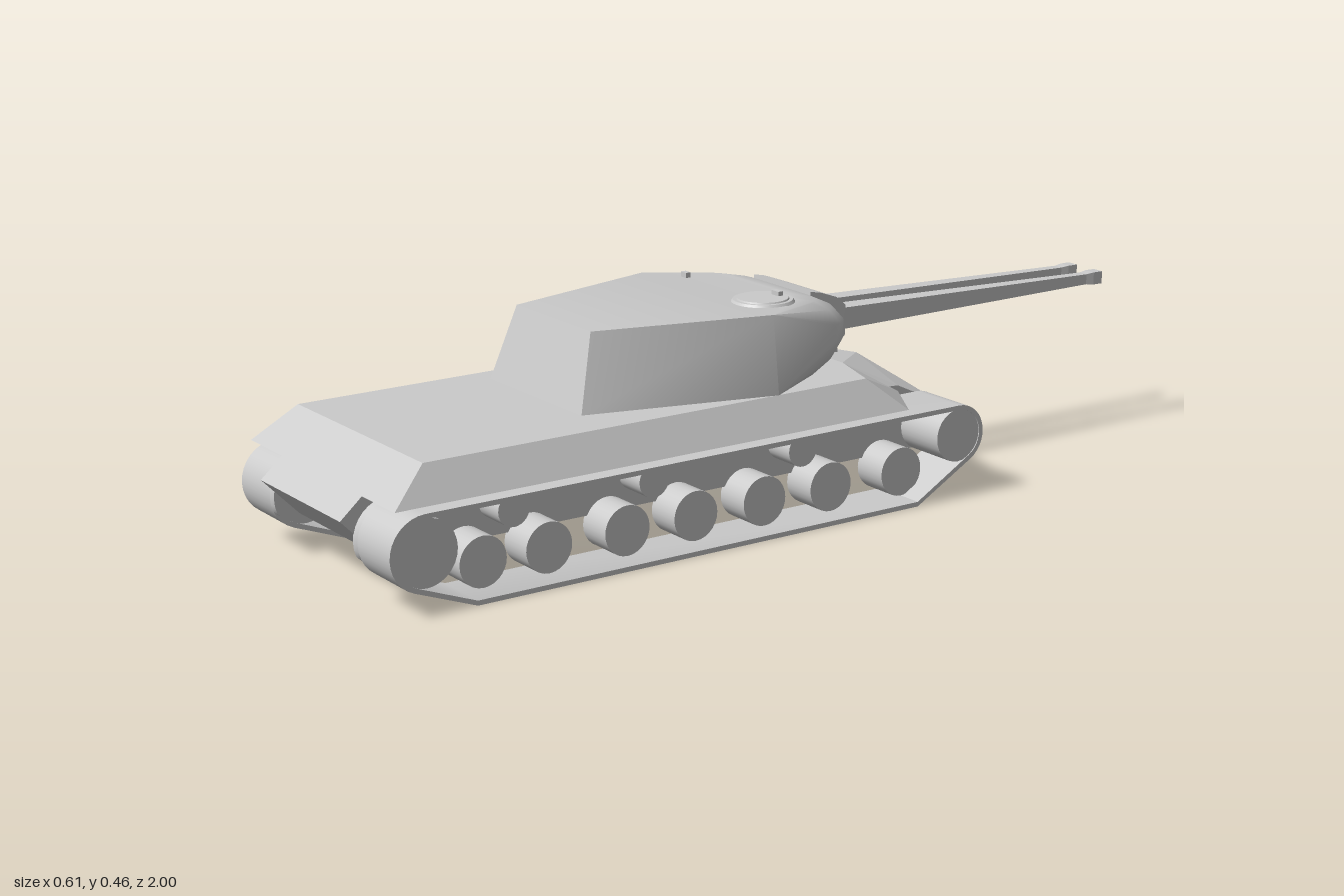
import * as THREE from 'three';
import { toCreasedNormals } from 'three/addons/utils/BufferGeometryUtils.js';
import { ConvexGeometry } from 'three/addons/geometries/ConvexGeometry.js';

const material = new THREE.MeshStandardMaterial({ color: 0xcccccc });

function add(parent, name, geometry, x = 0, y = 0, z = 0) {
  const mesh = new THREE.Mesh(geometry, material);
  mesh.name = name;
  mesh.position.set(x, y, z);
  parent.add(mesh);
}

// Convex solid from points on the +x half, mirrored to -x
function mirroredSolid(points) {
  const all = [];
  for (const [x, y, z] of points) {
    all.push(new THREE.Vector3(x, y, z));
    if (x > 0) all.push(new THREE.Vector3(-x, y, z));
  }
  return new ConvexGeometry(all);
}

// Side outline of the track loop as (z, y); inset gives its inner face
function trackOutline(inset) {
  const pts = [];
  const arc = (cz, cy, r, from, to) => {
    for (let i = 0; i <= 14; i++) {
      const a = THREE.MathUtils.degToRad(from + (to - from) * i / 14);
      pts.push(new THREE.Vector2(cz + r * Math.cos(a), cy + r * Math.sin(a)));
    }
  };
  arc(0.897, 0.126, 0.077 - inset, 90, -69);
  pts.push(new THREE.Vector2(0.79, 0.003 + inset), new THREE.Vector2(-0.27, 0.003 + inset));
  arc(-0.378, 0.139, 0.065 - inset, 240, 90);
  return pts;
}

// Extrude a (z, y) shape across x, from x0 to x1
function extrudeAcross(shape, x0, x1) {
  const g = new THREE.ExtrudeGeometry(shape, { depth: x1 - x0, bevelEnabled: false });
  g.rotateY(-Math.PI / 2).translate(x1, 0, 0);
  return toCreasedNormals(g, 0.5);
}

function wheel(radius, width) {
  return new THREE.CylinderGeometry(radius, radius, width, 28).rotateZ(Math.PI / 2);
}

function buildHull() {
  const hull = new THREE.Group();
  hull.name = 'hull';
  // Central body with a pointed nose
  add(hull, 'hullBody', mirroredSolid([
    [0.163, 0.17, 1.0], [0.163, 0.283, 0.87], [0.163, 0.088, 0.92],
    [0.12, 0.283, -0.21], [0.163, 0.225, -0.325], [0, 0.261, -0.34],
    [0, 0.17, -0.485], [0.163, 0.17, -0.44], [0.163, 0.088, -0.38],
  ]));
  // Sloped upper hull overhanging the tracks
  add(hull, 'upperHull', mirroredSolid([
    [0.293, 0.213, 0.955], [0.25, 0.283, 0.87], [0.293, 0.213, -0.25],
    [0.25, 0.283, -0.17], [0.163, 0.213, -0.325], [0.12, 0.283, -0.21],
  ]));
  add(hull, 'turretRing', new THREE.CylinderGeometry(0.222, 0.222, 0.012, 40), 0, 0.288, 0.085);
  add(hull, 'noseSight', new THREE.BoxGeometry(0.012, 0.035, 0.01), 0, 0.262, -0.28);
  return hull;
}

function buildRunningGear(side) {
  const gear = new THREE.Group();
  gear.name = side > 0 ? 'leftRunningGear' : 'rightRunningGear';
  const loop = new THREE.Shape(trackOutline(0));
  // The hole runs the opposite way round, so its walls face inward
  loop.holes.push(new THREE.Path(trackOutline(0.01).reverse()));
  const plate = new THREE.Shape(trackOutline(0).map(p => new THREE.Vector2(p.x, Math.max(p.y, 0.088))));
  const span = (a, b) => side > 0 ? [a, b] : [-b, -a];
  add(gear, 'track', extrudeAcross(loop, ...span(0.18, 0.303)));
  add(gear, 'hullSidePlate', extrudeAcross(plate, ...span(0.162, 0.18)));

  add(gear, 'driveWheel', wheel(0.068, 0.12), side * 0.241, 0.126, 0.897);
  add(gear, 'idlerWheel', wheel(0.057, 0.12), side * 0.241, 0.139, -0.378);
  // Inset road wheels, staggered between the two sides
  const stagger = side > 0 ? 0 : 0.045;
  for (const z of [0.747, 0.6, 0.42, 0.257, 0.088, -0.08, -0.265])
    add(gear, 'roadWheel', wheel(0.052, 0.08), side * 0.212, 0.067, z + stagger);
  for (const z of [0.677, 0.356, -0.008])
    add(gear, 'returnRoller', wheel(0.035, 0.08), side * 0.212, 0.158, z);
  return gear;
}

function buildTurret() {
  const turret = new THREE.Group();
  turret.name = 'turret';
  // Layers from bottom to top: flat tapering rear, rounded front
  const points = [];
  const layers = [[0.291, -0.12], [0.315, -0.168], [0.35, -0.2], [0.385, -0.205], [0.415, -0.178], [0.435, -0.135], [0.446, -0.085]];
  for (const [y, front] of layers) {
    const t = (y - 0.291) / 0.155;
    points.push([0.172 - 0.034 * t, y, 0.472 - 0.045 * t]);
    points.push([0.275 - 0.04 * t, y, 0.07 - 0.015 * t]);
    for (let i = 0; i <= 6; i++) {
      const a = i / 6 * Math.PI / 2;
      points.push([0.1 + (0.1 - 0.03 * t) * Math.cos(a), y, front + 0.08 * (1 - Math.sin(a))]);
    }
  }
  add(turret, 'turretShell', toCreasedNormals(mirroredSolid(points), 0.7));

  // Gun shield, standing proud of the rounded front
  add(turret, 'mantlet', mirroredSolid([
    [0.1, 0.3, -0.13], [0.1, 0.441, -0.14], [0.1, 0.315, -0.19], [0.1, 0.435, -0.168],
    [0.093, 0.32, -0.222], [0.09, 0.418, -0.215], [0.07, 0.328, -0.255], [0.07, 0.392, -0.255],
  ]));

  // Commander's cupola and roof fittings
  add(turret, 'cupolaBase', new THREE.CylinderGeometry(0.062, 0.066, 0.006, 36), 0.123, 0.448, 0);
  add(turret, 'cupolaHatch', new THREE.CylinderGeometry(0.053, 0.055, 0.004, 36), 0.123, 0.452, 0);
  add(turret, 'cupolaPeriscope', new THREE.BoxGeometry(0.024, 0.012, 0.012), 0.125, 0.457, -0.035);
  add(turret, 'roofPeriscope', new THREE.BoxGeometry(0.019, 0.014, 0.012), -0.146, 0.45, 0.005);
  return turret;
}

// Square tapered bar lying along z, from back to front (-z)
function squareBar(halfBack, halfFront, length) {
  const s = Math.SQRT2;
  const g = new THREE.CylinderGeometry(halfFront * s, halfBack * s, length, 4).toNonIndexed();
  g.rotateY(Math.PI / 4).rotateX(-Math.PI / 2).computeVertexNormals();
  return g;
}

function buildGun(x) {
  const gun = new THREE.Group();
  gun.name = x > 0 ? 'leftGun' : 'rightGun';
  add(gun, 'barrel', squareBar(0.024, 0.0115, 0.755), 0, 0, -0.3775);
  add(gun, 'muzzleFlare', squareBar(0.0115, 0.014, 0.02), 0, 0, -0.765);
  add(gun, 'muzzle', squareBar(0.014, 0.014, 0.025), 0, 0, -0.7875);
  gun.position.set(x, 0.362, -0.2);
  gun.rotation.x = -0.016;
  return gun;
}

export function createModel() {
  const model = new THREE.Group();
  model.name = 'tank';
  model.add(buildHull(), buildTurret());
  for (const side of [1, -1]) model.add(buildRunningGear(side), buildGun(side * 0.042));
  return model;
}
